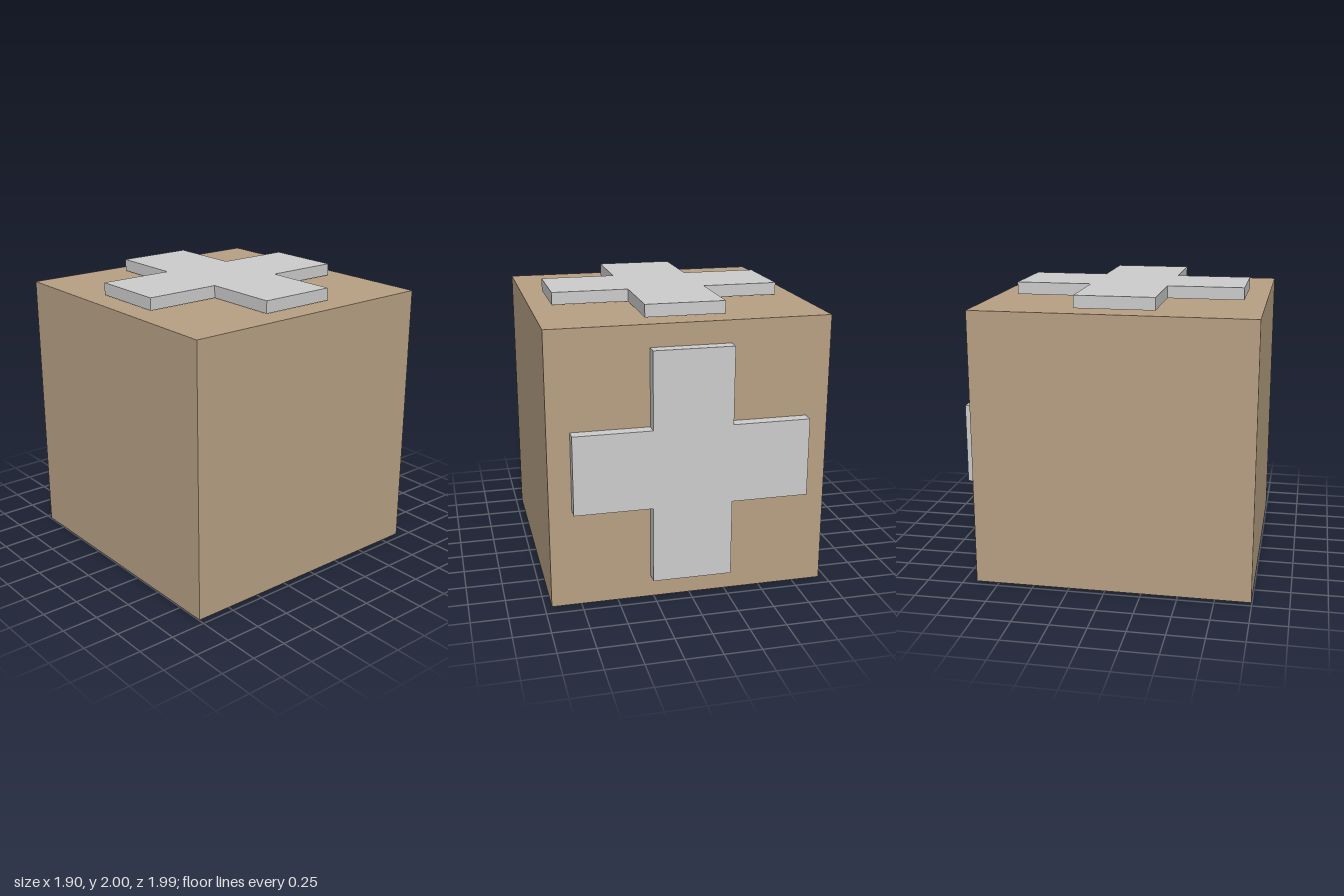
import * as THREE from 'three';

const SIZE = 1.905;      // cube edge
const THICK = 0.085;     // plate thickness
const CENTER_Z = THICK / 2;

// Plus-shaped plate, centred on its own axes and facing +z
function crossGeometry(reach, arm, depth) {
  const corners = [];
  for (let i = 0; i < 4; i++) {
    const turn = i * Math.PI / 2;
    for (const [x, y] of [[reach, -arm], [reach, arm], [arm, arm]]) {
      corners.push(new THREE.Vector2(x, y).rotateAround(new THREE.Vector2(), turn));
    }
  }
  const geometry = new THREE.ExtrudeGeometry(new THREE.Shape(corners), { depth, bevelEnabled: false });
  return geometry.translate(0, 0, -depth / 2);
}

export function createModel() {
  const group = new THREE.Group();
  const brown = new THREE.MeshStandardMaterial({ color: 0xb7a083 });
  const grey = new THREE.MeshStandardMaterial({ color: 0xcccccc });

  // Cube body
  const body = new THREE.Mesh(new THREE.BoxGeometry(SIZE, SIZE, SIZE), brown);
  body.name = 'body';
  body.position.set(0, SIZE / 2, CENTER_Z);
  group.add(body);

  // Cross plates; the top one sits a hair above the body
  const cross = crossGeometry(0.8, 0.271, THICK);
  const topCross = new THREE.Mesh(cross, grey);
  topCross.name = 'topCross';
  topCross.rotation.x = -Math.PI / 2;
  topCross.position.set(0, 2 - THICK / 2, CENTER_Z);
  group.add(topCross);

  const backCross = new THREE.Mesh(cross, grey);
  backCross.name = 'backCross';
  backCross.rotation.y = Math.PI;
  backCross.position.set(0, SIZE / 2, CENTER_Z - SIZE / 2 - THICK / 2);
  group.add(backCross);

  return group;
}
